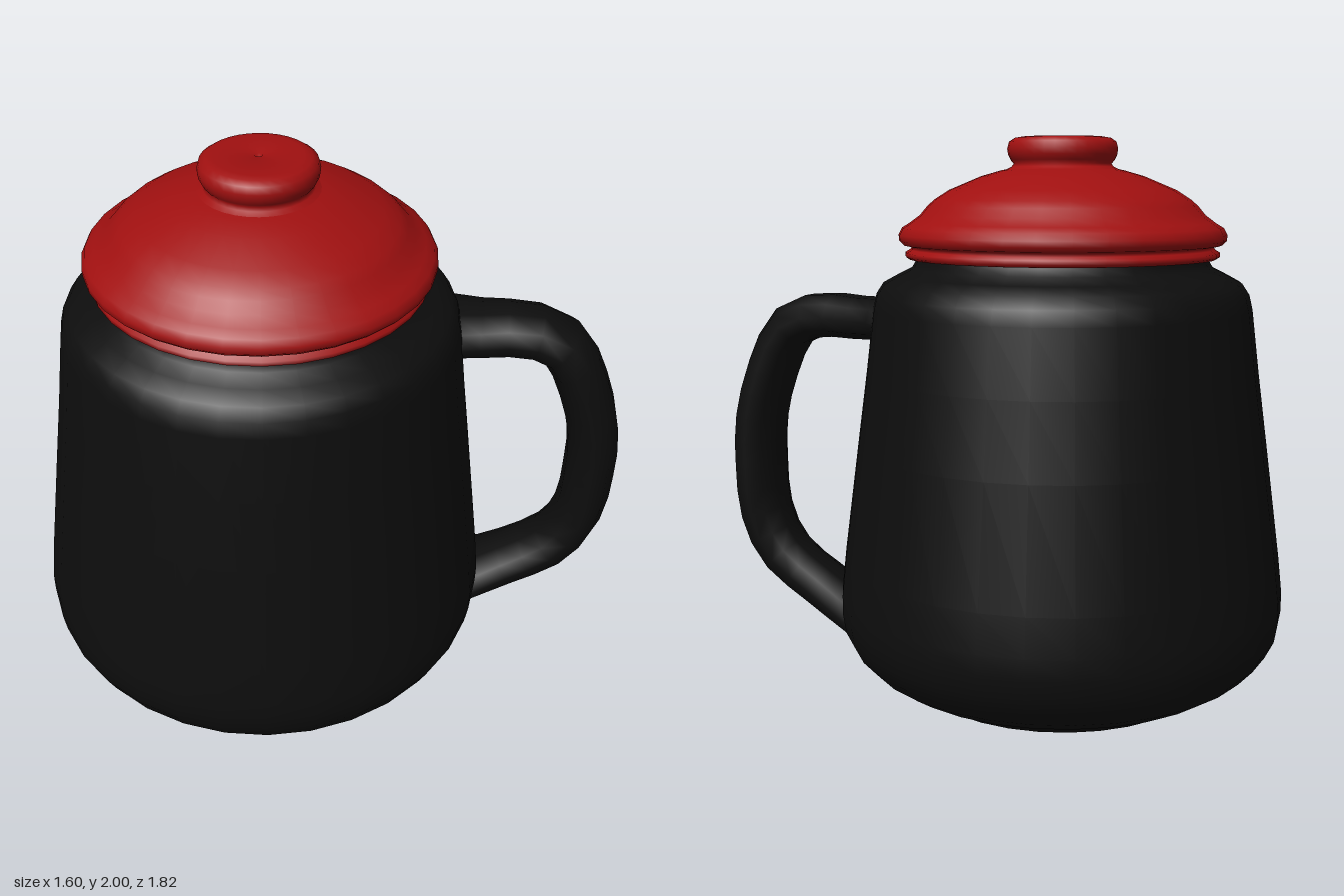
import * as THREE from 'three';
import { mergeVertices } from 'three/addons/utils/BufferGeometryUtils.js';

const enamel = new THREE.MeshStandardMaterial({ color: 0x0d0d0d });
const red = new THREE.MeshStandardMaterial({ color: 0xa01010 });

// Smooth turned part from [radius, height] pairs, listed bottom to top
function turned(name, profile, material) {
  const points = profile.map(([r, y]) => new THREE.Vector2(r, y));
  const mesh = new THREE.Mesh(new THREE.LatheGeometry(points, 32), material);
  mesh.name = name;
  mesh.position.set(-0.015, 0, 0.12);
  return mesh;
}

// Oval bar bent in the XY plane, flaring where both ends join the body
function handleGeometry() {
  const path = new THREE.CatmullRomCurve3([
    [-0.64, 1.37], [-0.45, 1.37], [-0.29, 1.375], [-0.18, 1.33], [-0.09, 1.17], [-0.035, 0.98],
    [-0.027, 0.8], [-0.04, 0.63], [-0.11, 0.48], [-0.3, 0.34], [-0.52, 0.22],
  ].map(([x, y]) => new THREE.Vector3(x, y, 0)));
  const segments = 20, sides = 10, radius = 0.085;
  const tube = new THREE.TubeGeometry(path, segments, radius, sides);
  const pos = tube.attributes.position;
  for (let i = 0; i < pos.count; i++) {
    const t = Math.floor(i / (sides + 1)) / segments;
    const end = Math.max(0, 1 - Math.min(t, 1 - t) / 0.2);
    const c = path.getPointAt(t);
    const slim = 0.85 + 0.2 * Math.sin(Math.PI * t);
    pos.setXYZ(i,
      c.x + (pos.getX(i) - c.x) * slim,
      c.y + (pos.getY(i) - c.y) * slim,
      pos.getZ(i) * 1.5 * (1 + 0.5 * end * end));
  }
  tube.deleteAttribute('uv');
  tube.deleteAttribute('normal');
  const merged = mergeVertices(tube);
  merged.computeVertexNormals();
  return merged;
}

export function createModel() {
  const group = new THREE.Group();
  group.name = 'pot';

  // Body: rounded foot, tapering wall, shoulder and neck
  group.add(turned('body', [
    [0, 0.005], [0.3, 0.018], [0.43, 0.04], [0.52, 0.065], [0.57, 0.1], [0.64, 0.13],
    [0.7, 0.17], [0.75, 0.225], [0.78, 0.285], [0.79, 0.35], [0.79, 0.42], [0.775, 0.55],
    [0.72, 0.95], [0.685, 1.2], [0.657, 1.42], [0.645, 1.47], [0.62, 1.508], [0.57, 1.535],
    [0.52, 1.56], [0.505, 1.585], [0.505, 1.61],
  ], enamel));

  // Lid: lower bead, groove, rolled rim and dome
  group.add(turned('lid', [
    [0.48, 1.592], [0.53, 1.59], [0.542, 1.598], [0.542, 1.612], [0.525, 1.622], [0.52, 1.632],
    [0.55, 1.638], [0.564, 1.652], [0.565, 1.672], [0.553, 1.695], [0.525, 1.712], [0.49, 1.738],
    [0.465, 1.768], [0.44, 1.79], [0.39, 1.822], [0.28, 1.868], [0.21, 1.888], [0.15, 1.9],
  ], red));

  // Knob with a small pit in the middle
  group.add(turned('knob', [
    [0.2, 1.888], [0.175, 1.9], [0.168, 1.91], [0.178, 1.922], [0.187, 1.94], [0.19, 1.96],
    [0.184, 1.983], [0.165, 1.996], [0.14, 2], [0.012, 2], [0.012, 1.97], [0, 1.97],
  ], red));

  // Handle at the back left
  const handle = new THREE.Mesh(handleGeometry(), enamel);
  handle.name = 'handle';
  handle.position.set(0.7, 0, -0.82);
  handle.rotation.y = 0.83;
  group.add(handle);

  return group;
}
